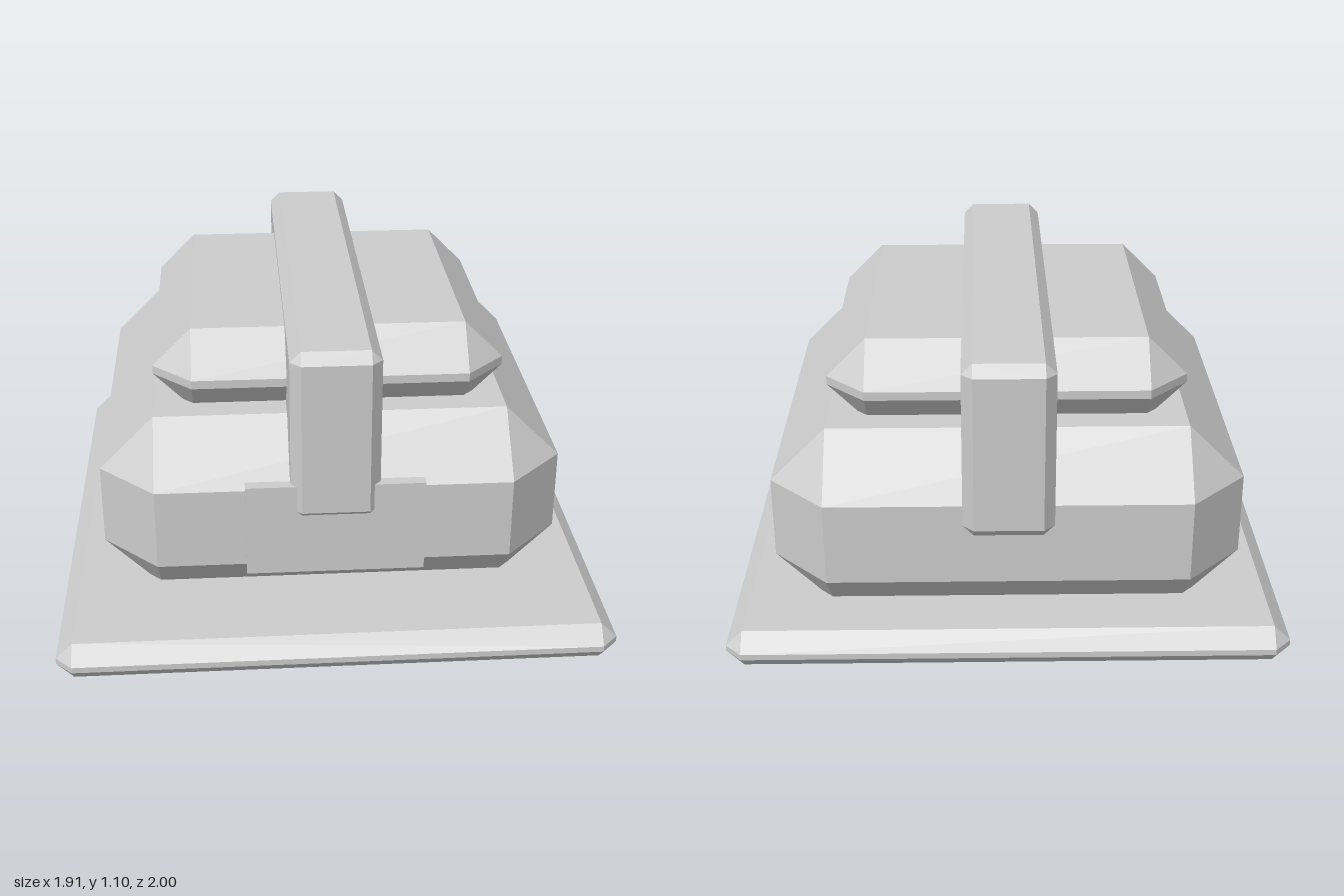
import * as THREE from 'three';
import { ConvexGeometry } from 'three/addons/geometries/ConvexGeometry.js';

const lightGrey = new THREE.MeshStandardMaterial({ color: 0xcccccc, flatShading: true });
lightGrey.name = 'lightGrey';

// Box between two corners, with every edge and corner cut by the same chamfer
function chamferBox(name, min, max, chamfer) {
  const centre = min.map((v, i) => (v + max[i]) / 2);
  const half = min.map((v, i) => (max[i] - v) / 2);
  const points = [];
  for (const sx of [-1, 1]) for (const sy of [-1, 1]) for (const sz of [-1, 1]) {
    // each corner becomes a triangle: one point on each of the three faces
    for (let axis = 0; axis < 3; axis++) {
      const p = [sx, sy, sz].map((s, i) => s * (half[i] - (i === axis ? 0 : chamfer)));
      points.push(new THREE.Vector3(...p));
    }
  }
  const mesh = new THREE.Mesh(new ConvexGeometry(points), lightGrey);
  mesh.name = name;
  mesh.position.set(...centre);
  return mesh;
}

export function createModel() {
  const model = new THREE.Group();
  model.name = 'strappedBlock';

  // Stacked blocks: wide base slab, bulky body, smaller lid
  model.add(chamferBox('baseSlab', [-0.957, 0, -1], [0.957, 0.135, 1], 0.057));
  model.add(chamferBox('body', [-0.805, 0.095, -0.888], [0.805, 0.77, 0.727], 0.193));
  model.add(chamferBox('lid', [-0.612, 0.735, -0.695], [0.612, 1.037, 0.535], 0.136));

  // Strap running front to back over the lid
  model.add(chamferBox('strap', [-0.152, 0.478, -0.943], [0.152, 1.095, 0.785], 0.037));

  // Plain plate on the front of the body, under the end of the strap
  const plate = new THREE.Mesh(new THREE.BoxGeometry(0.61, 0.335, 0.042), lightGrey);
  plate.name = 'frontPlate';
  plate.position.set(0, 0.443, 0.749);
  model.add(plate);

  return model;
}
